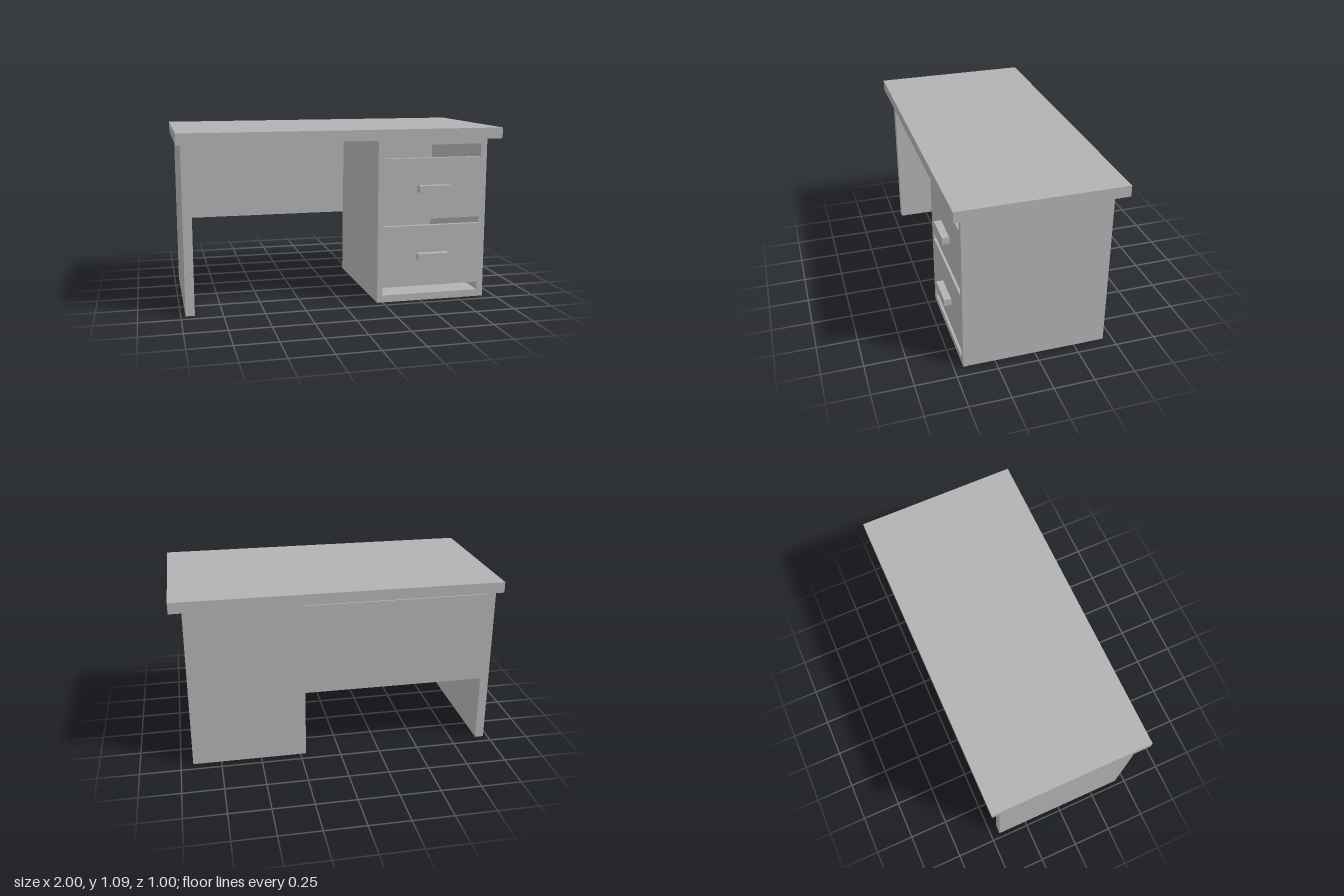
import * as THREE from 'three';

export function createModel() {
  const desk = new THREE.Group();
  desk.name = 'desk';
  const grey = new THREE.MeshStandardMaterial({ color: 0xb2b2b2 });
  grey.name = 'plain grey';

  // Box given by its minimum and maximum corners
  function box(name, [x0, y0, z0], [x1, y1, z1], parent = desk) {
    const mesh = new THREE.Mesh(new THREE.BoxGeometry(x1 - x0, y1 - y0, z1 - z0), grey);
    mesh.position.set((x0 + x1) / 2, (y0 + y1) / 2, (z0 + z1) / 2);
    mesh.name = name;
    parent.add(mesh);
  }

  function rectangle(PathType, x0, y0, x1, y1) {
    return new PathType([[x0, y0], [x1, y0], [x1, y1], [x0, y1]].map(p => new THREE.Vector2(...p)));
  }

  const under = 1.025; // underside of the top
  const depth = 0.443; // half depth of the supports

  box('desktop', [-1, under, -0.5], [1, 1.092, 0.5]);
  box('sidePanel', [-0.972, 0, -depth], [-0.917, under, depth]);
  box('modestyPanel', [-0.917, 0.43, -depth], [0.215, 1.0, -depth + 0.02]);

  // Hollow drawer cabinet
  const cabinet = new THREE.Group();
  cabinet.name = 'drawerCabinet';
  desk.add(cabinet);
  const left = 0.215, right = 0.925, inL = 0.25, inR = 0.885;
  const front = depth - 0.03, back = -depth + 0.03;
  box('cabinetInnerSide', [left, 0, -depth], [inL, under, front], cabinet);
  box('cabinetOuterSide', [inR, 0, -depth], [right, under, front], cabinet);
  box('cabinetBack', [inL, 0, -depth], [inR, under, back], cabinet);
  box('cabinetFloor', [inL, 0, back], [inR, 0.045, front], cabinet);
  box('cabinetTop', [inL, 0.99, back], [inR, under, front], cabinet);

  // Front face with the gaps above and below the drawers
  const face = rectangle(THREE.Shape, left, 0, right, under);
  for (const [y0, y1] of [[0.045, 0.095], [0.483, 0.525], [0.908, 0.99]]) {
    face.holes.push(rectangle(THREE.Path, inL, y0, inR, y1));
  }
  const frontFace = new THREE.Mesh(
    new THREE.ExtrudeGeometry(face, { depth: depth - front, bevelEnabled: false }), grey);
  frontFace.position.z = front;
  frontFace.name = 'drawerFronts';
  cabinet.add(frontFace);

  // Drawer trays and handles
  for (const [y, handleY] of [[0.095, 0.266], [0.525, 0.695]]) {
    box('drawerTray', [inL, y, back], [inR, y + 0.03, front], cabinet);
    box('drawerHandle', [0.47, handleY, depth], [0.67, handleY + 0.044, 0.487], cabinet);
  }
  return desk;
}
